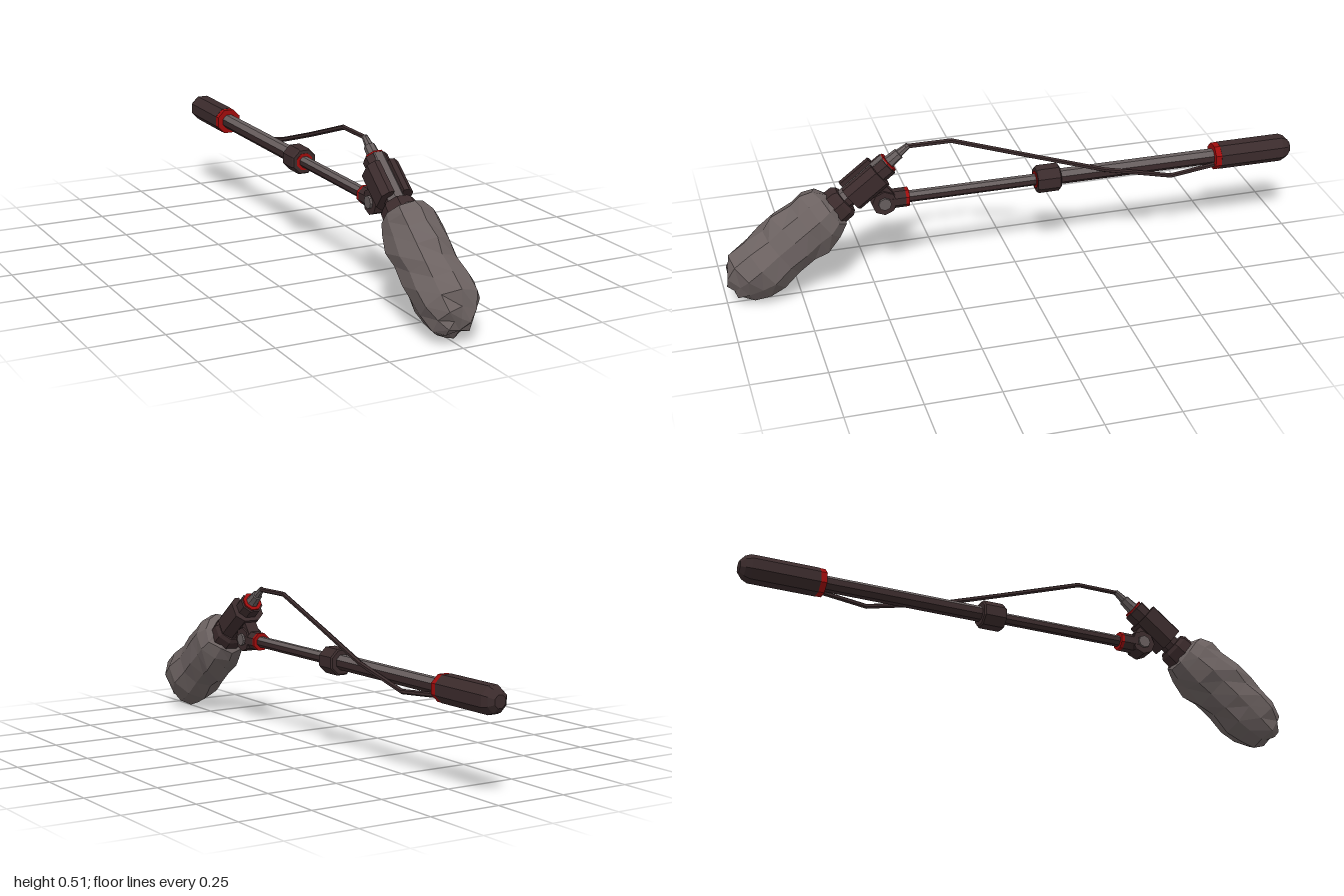
import * as THREE from 'three';

const mat = (name, color) => {
  const m = new THREE.MeshStandardMaterial({ color, flatShading: true });
  m.name = name;
  return m;
};

export function createModel() {
  const fur = mat('furGrey', 0x6c6261);
  const metal = mat('metalGrey', 0x665d5d);
  const dark = mat('darkPlastic', 0x3b2b2c);
  const red = mat('redTrim', 0xa00c0c);

  const model = new THREE.Group();
  model.name = 'boomMicrophone';

  const add = (parent, name, geometry, material, x = 0, y = 0, z = 0) => {
    const mesh = new THREE.Mesh(geometry, material);
    mesh.name = name;
    mesh.position.set(x, y, z);
    parent.add(mesh);
    return mesh;
  };
  // Eight-sided turned part along z; profile is [z, radius] with z rising
  const turned = (profile) => new THREE.LatheGeometry(
    profile.map(([z, r]) => new THREE.Vector2(r, z)), 8, Math.PI / 8).rotateX(Math.PI / 2);
  const tube = (z0, z1, r) => turned([[z0, 0], [z0, r], [z1, r], [z1, 0]]);
  // Tube whose three upper sides are metal and the rest dark
  const twoTone = [dark, metal];
  const twoToneTube = (z0, z1, r) => {
    const g = tube(z0, z1, r);
    g.addGroup(0, 36, 0);
    g.addGroup(36, 54, 1);
    g.addGroup(90, 54, 0);
    return g;
  };

  // Telescopic pole
  const pole = new THREE.Group();
  pole.name = 'pole';
  pole.position.y = 0.305;
  model.add(pole);
  add(pole, 'innerPole', twoToneTube(-0.1, 0.4, 0.02), twoTone);
  add(pole, 'outerPole', twoToneTube(-0.74, -0.1, 0.027), twoTone);
  add(pole, 'poleLock', turned([[-0.155, 0], [-0.155, 0.043], [-0.15, 0.048], [-0.08, 0.048], [-0.072, 0.043], [-0.072, 0]]), dark);
  add(pole, 'lockRing', tube(-0.075, -0.07, 0.031), red);
  add(pole, 'grip', turned([[-1, 0], [-1, 0.022], [-0.985, 0.039], [-0.965, 0.048], [-0.735, 0.048], [-0.735, 0]]), dark);
  add(pole, 'gripRing', tube(-0.737, -0.714, 0.047), red);
  add(pole, 'headRing', tube(0.372, 0.384, 0.033), red);
  add(pole, 'headCollar', tube(0.384, 0.44, 0.033), dark);

  // Swivel joint with a bolt on each side
  const axle = (r, w) => new THREE.CylinderGeometry(r, r, w, 8).rotateZ(Math.PI / 2);
  add(pole, 'swivel', axle(0.043, 0.06), dark, 0, 0, 0.458);
  for (const side of [-1, 1]) add(pole, 'swivelBolt', axle(0.022, 0.012), metal, side * 0.032, 0, 0.458);

  // Microphone, tilted down towards the front; local z runs from plug to windscreen
  const mic = new THREE.Group();
  mic.name = 'microphone';
  mic.position.set(0, 0.493, 0.37);
  mic.rotation.x = 0.656;
  model.add(mic);
  add(mic, 'plug', turned([[-0.005, 0], [-0.005, 0.01], [0.035, 0.014], [0.037, 0.019], [0.07, 0.021], [0.085, 0.024], [0.085, 0]]), metal);
  add(mic, 'micBody', twoToneTube(0.084, 0.36, 0.035), twoTone);
  add(mic, 'micRing', tube(0.08, 0.085, 0.036), red);

  // Holder: mirrored sections open at the top, a slim one behind the main one
  const cradle = (outer, depth) => {
    const inner = [[0.03, -0.014], [0.03, 0.014], [0.017, 0.03]];
    const half = [...inner, ...outer].map(([x, y]) => new THREE.Vector2(x, y));
    const mirrored = half.map((p) => new THREE.Vector2(-p.x, p.y)).reverse();
    return new THREE.ExtrudeGeometry(new THREE.Shape([...half, ...mirrored]), { depth, bevelEnabled: false });
  };
  add(mic, 'rearHolder', cradle([[0.02, 0.034], [0.039, 0.015], [0.039, -0.016], [0.018, -0.038]], 0.045), dark, 0, 0, 0.088);
  add(mic, 'holder', cradle([[0.017, 0.046], [0.035, 0.046], [0.056, 0.027], [0.056, -0.028], [0.028, -0.052]], 0.125), dark, 0, 0, 0.128);
  add(mic, 'holderFoot', new THREE.BoxGeometry(0.045, 0.06, 0.055), dark, 0, -0.07, 0.168);
  add(mic, 'windscreenCollar', turned([[0.272, 0], [0.272, 0.05], [0.285, 0.06], [0.325, 0.062], [0.34, 0]]), dark);

  // Furry windscreen: rings pushed in and out into shallow lumps
  const screen = new THREE.LatheGeometry([
    [0.305, 0], [0.307, 0.045], [0.325, 0.08], [0.365, 0.096], [0.42, 0.102], [0.485, 0.105], [0.55, 0.101],
    [0.615, 0.105], [0.675, 0.1], [0.725, 0.075], [0.75, 0.042], [0.757, 0],
  ].map(([z, r]) => new THREE.Vector2(r, z)), 10).rotateX(Math.PI / 2);
  const pos = screen.attributes.position;
  for (let i = 0; i < pos.count; i++) {
    const ring = i % 12, spoke = Math.floor(i / 12) % 10;
    const n = Math.sin(ring * 12.99 + spoke * 78.23) * 43758.55;
    const lump = ring === 0 || ring === 11 ? 0 : n - Math.floor(n) - 0.5;
    const k = 1 + lump * 0.18;
    pos.setXYZ(i, pos.getX(i) * k * 0.96, pos.getY(i) * k * 1.03 + 0.01, pos.getZ(i) + lump * 0.018);
  }
  screen.computeVertexNormals();
  add(mic, 'windscreen', screen, fur);

  // Cable from the plug down to the grip
  const path = [
    [0, 0.493, 0.375], [0, 0.493, 0.22], [0.012, 0.405, -0.05], [0.032, 0.325, -0.31],
    [0.036, 0.27, -0.55], [0.02, 0.283, -0.73],
  ].map((p) => new THREE.Vector3(...p));
  const cable = new THREE.Group();
  cable.name = 'cable';
  model.add(cable);
  for (let i = 1; i < path.length; i++) {
    const dir = path[i].clone().sub(path[i - 1]);
    const mid = path[i].clone().add(path[i - 1]).multiplyScalar(0.5);
    const piece = add(cable, 'cableSection', new THREE.CylinderGeometry(0.0085, 0.0085, dir.length() + 0.004, 6), dark, mid.x, mid.y, mid.z);
    piece.quaternion.setFromUnitVectors(new THREE.Vector3(0, 1, 0), dir.normalize());
  }
  return model;
}
